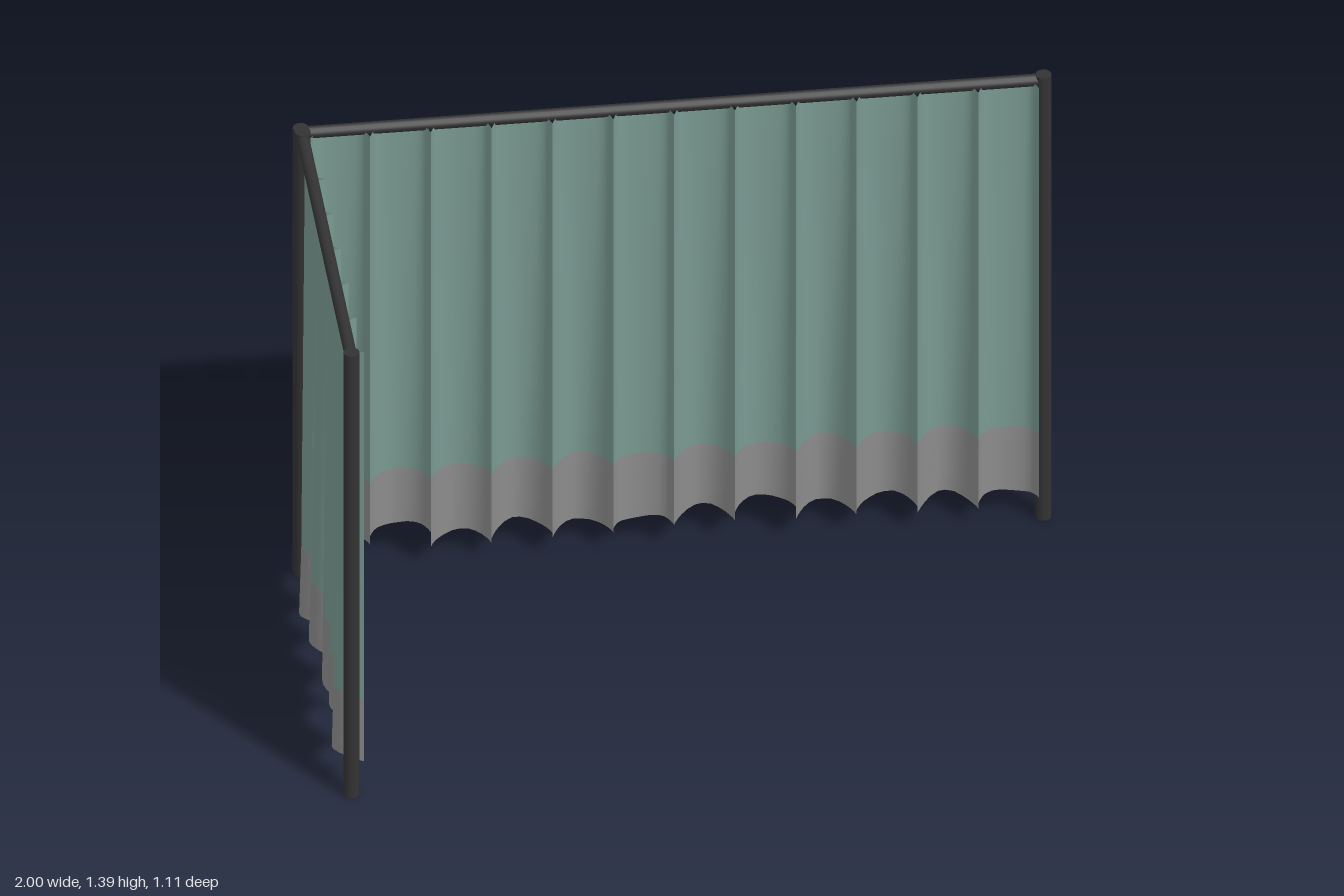
import * as THREE from 'three';

const metal = new THREE.MeshStandardMaterial({ color: 0x333333 });
const cloth = new THREE.MeshStandardMaterial({ color: 0x7a9a92, side: THREE.DoubleSide });
const hemCloth = new THREE.MeshStandardMaterial({ color: 0x8c8c8c, side: THREE.DoubleSide });

const TOP = 1.375, HEM = 0.28, PITCH = 0.1588;
const bottoms = [0.085, 0.11, 0.068, 0.085, 0.067, 0.08];

// Plan of one fold: [fraction of width, inward pleat, share of outward bulge]
const fold = [
  [0, 0.036, 0], [0.04, 0.022, 0], [0.09, 0.009, 0.05], [0.16, 0, 0.25], [0.27, -0.004, 0.65],
  [0.4, -0.006, 0.95], [0.52, -0.006, 1], [0.66, -0.005, 0.9], [0.78, -0.003, 0.55],
  [0.87, 0.001, 0.2], [0.93, 0.011, 0.05], [0.97, 0.022, 0], [1, 0.036, 0],
];

// Sheet between two heights; the outward bulge grows towards the floor
function foldSheet(x0, bulge, upper, lower) {
  const pos = [], idx = [], rows = 4, n = fold.length;
  for (let r = 0; r <= rows; r++) {
    for (const [t, pleat, share] of fold) {
      const y = THREE.MathUtils.lerp(upper, lower(t), r / rows);
      const flare = (TOP - y) / TOP;
      pos.push(x0 + t * PITCH, y, pleat - share * bulge * flare);
    }
  }
  for (let r = 0; r < rows; r++) {
    for (let i = 0; i < n - 1; i++) {
      const a = r * n + i, b = a + n;
      idx.push(a, b, a + 1, b, b + 1, a + 1);
    }
  }
  const g = new THREE.BufferGeometry();
  g.setAttribute('position', new THREE.Float32BufferAttribute(pos, 3));
  g.setIndex(idx);
  g.computeVertexNormals();
  return g;
}

// Row of folds along +x, bulging towards -z, pleats pointing to +z
function curtain(name, bulges) {
  const group = new THREE.Group();
  group.name = name;
  bulges.forEach((bulge, i) => {
    const bottom = bottoms[i % bottoms.length];
    const wave = t => bottom + 0.004 * Math.sin(t * 7 + i * 1.7);
    const panel = new THREE.Mesh(foldSheet(i * PITCH, bulge, TOP, () => HEM), cloth);
    panel.name = 'curtainFold';
    const hem = new THREE.Mesh(foldSheet(i * PITCH, bulge, HEM, wave), hemCloth);
    hem.name = 'curtainHem';
    group.add(panel, hem);
  });
  return group;
}

function post(name, x, z) {
  const m = new THREE.Mesh(new THREE.CylinderGeometry(0.021, 0.021, 1.395, 12), metal);
  m.name = name;
  m.position.set(x, 1.395 / 2, z);
  return m;
}

function rail(name, length) {
  const m = new THREE.Mesh(new THREE.CylinderGeometry(0.0165, 0.0165, length, 12), metal);
  m.name = name;
  return m;
}

export function createModel() {
  const model = new THREE.Group();
  model.name = 'curtainScreen';

  // Posts, doubled at the corner
  model.add(
    post('frontPost', -0.957, 0.53),
    post('rightEndPost', 0.979, -0.496),
    post('cornerPostBack', -0.96, -0.496),
    post('cornerPostSide', -0.957, -0.477),
  );

  // Rails
  const backRail = rail('backRail', 1.94);
  backRail.rotation.z = Math.PI / 2;
  backRail.position.set(0.01, 1.377, -0.498);
  const sideRail = rail('sideRail', 1.02);
  sideRail.rotation.x = Math.PI / 2;
  sideRail.position.set(-0.957, 1.377, 0.02);
  model.add(backRail, sideRail);

  // Curtains
  const back = curtain('backCurtain',
    [0.039, 0.025, 0.027, 0.038, 0.044, 0.012, 0.039, 0.026, 0.055, 0.038, 0.045, 0.012]);
  back.position.set(-0.942, 0, -0.497);
  const side = curtain('sideCurtain', [0.034, 0.021, 0.018, 0.034, 0.039, 0.012]);
  side.rotation.y = Math.PI / 2;
  side.position.set(-0.957, 0, 0.508);
  model.add(back, side);

  return model;
}
